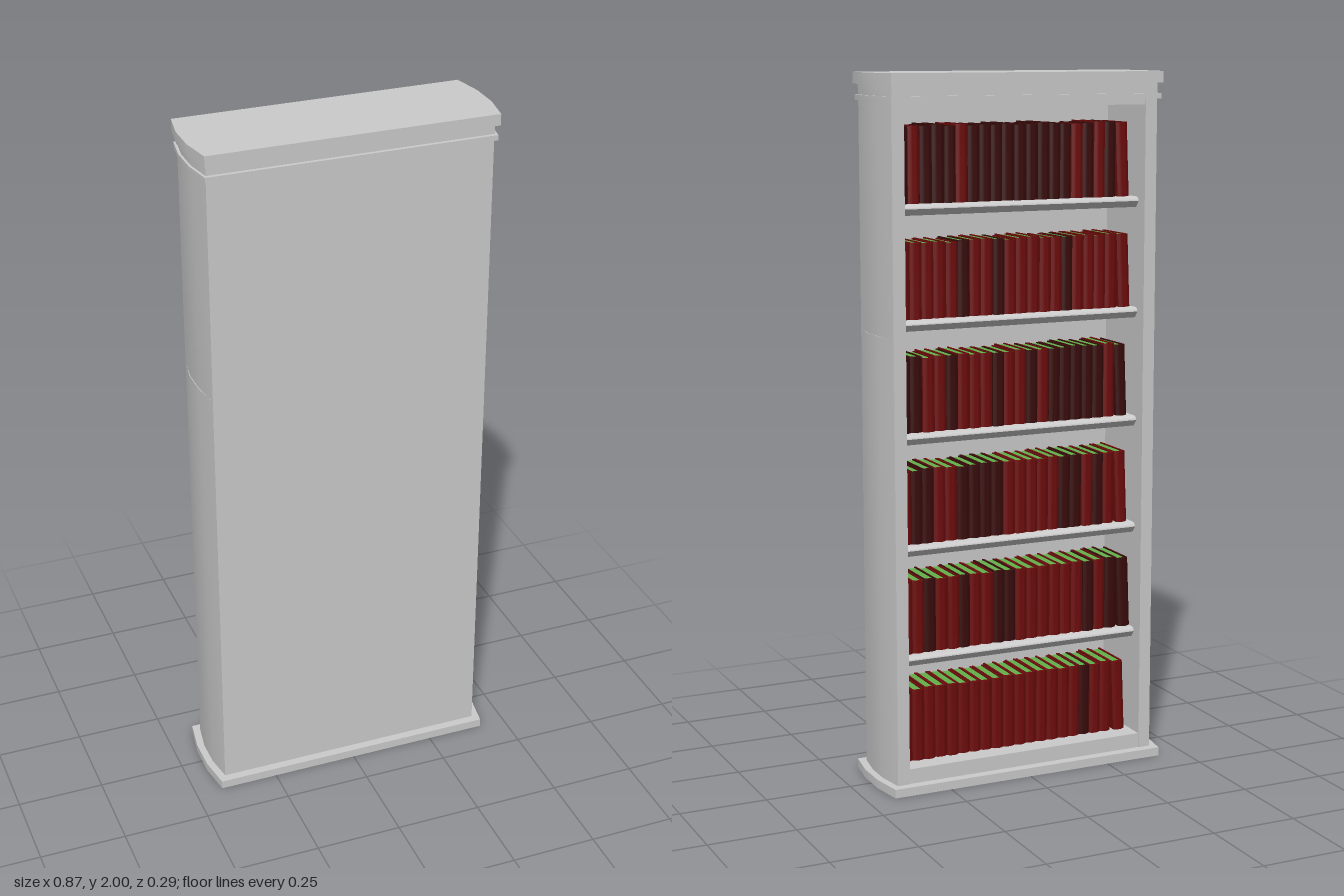
import * as THREE from 'three';
import { toCreasedNormals } from 'three/addons/utils/BufferGeometryUtils.js';

const grey = new THREE.MeshStandardMaterial({ color: 0xcccccc });
const red = new THREE.MeshStandardMaterial({ color: 0x6e0c0c });
const darkRed = new THREE.MeshStandardMaterial({ color: 0x3a0b0b });
const green = new THREE.MeshStandardMaterial({ color: 0x62b04a });

const INNER = 0.366; // half width of the opening
const FLOOR = 0.068, STEP = 0.316;

function mesh(name, geometry, material = grey) {
  const m = new THREE.Mesh(geometry, material);
  m.name = name;
  return m;
}

function box(name, x0, x1, y0, y1, z0, z1) {
  const m = mesh(name, new THREE.BoxGeometry(x1 - x0, y1 - y0, z1 - z0));
  m.position.set((x0 + x1) / 2, (y0 + y1) / 2, (z0 + z1) / 2);
  return m;
}

// Extrudes a plan outline upwards from y0 to y1
function upright(shape, y0, y1, curveSegments = 6) {
  const g = new THREE.ExtrudeGeometry(shape, { depth: y1 - y0, bevelEnabled: false, curveSegments });
  g.rotateX(-Math.PI / 2).translate(0, y0, 0);
  return toCreasedNormals(g, 0.6);
}

// Faceted bowed end: corner, two bulge points, corner
const bowedEnd = (corner, bulge, z) => [[corner, -z], [bulge, -z * 0.33], [bulge, z * 0.33], [corner, z]];
const outline = (points) => new THREE.Shape(points.map(([x, y]) => new THREE.Vector2(x, y)));

function slab(name, corner, bulge, z, y0, y1) {
  const end = bowedEnd(corner, bulge, z);
  return mesh(name, upright(outline([...end, ...end.map(([x, y]) => [-x, -y])]), y0, y1));
}

function sidePanel(name, side, bulge, y0, y1) {
  const points = [...bowedEnd(0.402, bulge, 0.12), [INNER, 0.12], [INNER, -0.12]];
  return mesh(name, upright(outline(points.map(([x, y]) => [x * side, y])), y0, y1));
}

// Shelf with a rounded front edge, drawn in section and run across the opening
function shelf(top) {
  const s = new THREE.Shape();
  s.moveTo(-0.106, 0);
  s.lineTo(0.072, 0);
  s.quadraticCurveTo(0.084, -0.003, 0.084, -0.012);
  s.lineTo(0.07, -0.03);
  s.lineTo(-0.106, -0.03);
  const g = new THREE.ExtrudeGeometry(s, { depth: INNER * 2, bevelEnabled: false, curveSegments: 4 });
  g.translate(0, 0, -INNER).rotateY(Math.PI / 2);
  const m = mesh('shelf', toCreasedNormals(g, 0.6));
  m.position.y = top;
  return m;
}

const BOOK_W = 0.036, BOOK_H = 0.21;

function bookParts() {
  const s = new THREE.Shape();
  s.moveTo(-0.0175, -0.075);
  s.lineTo(-0.0175, 0.066);
  s.quadraticCurveTo(0, 0.08, 0.0175, 0.066);
  s.lineTo(0.0175, -0.075);
  s.lineTo(0.012, -0.075);
  s.lineTo(0.012, 0.062);
  s.lineTo(-0.012, 0.062);
  s.lineTo(-0.012, -0.075);
  const pages = new THREE.BoxGeometry(0.024, BOOK_H - 0.006, 0.134).translate(0, BOOK_H / 2, 0.005);
  return { cover: upright(s, 0, BOOK_H), pages };
}

function seeded(seed) {
  return () => (seed = (seed * 16807) % 2147483647) / 2147483647;
}

export function createModel() {
  const model = new THREE.Group();
  model.name = 'bookcase';

  // Base and stepped crown
  model.add(
    slab('base', 0.42, 0.435, 0.145, 0, 0.025),
    slab('crownMoulding', 0.408, 0.422, 0.133, 1.924, 1.939),
    slab('crownNeck', 0.402, 0.415, 0.122, 1.939, 1.968),
    slab('crownCap', 0.41, 0.426, 0.14, 1.968, 2)
  );

  // Carcass, open towards -z
  model.add(
    box('backPanel', -INNER, INNER, 0.025, 1.924, 0.105, 0.12),
    box('floorBoard', -INNER, INNER, 0.025, FLOOR, -0.117, 0.105),
    box('ceilingBoard', -INNER, INNER, 1.908, 1.924, -0.117, 0.105)
  );
  for (const side of [1, -1]) {
    model.add(
      sidePanel('lowerSidePanel', side, 0.415, 0.025, 1.29),
      sidePanel('upperSidePanel', side, 0.413, 1.29, 1.924)
    );
  }
  for (let i = 1; i < 6; i++) model.add(shelf(FLOOR + i * STEP));

  // Rows of books, spines towards -z, the last one leaning
  const { cover, pages } = bookParts();
  const random = seeded(71);
  const darkShare = [0.1, 0.3, 0.3, 0.55, 0.05, 0.75];
  for (let row = 0; row < 6; row++) {
    const books = new THREE.Group();
    books.name = 'bookRow';
    books.position.set(0, FLOOR + row * STEP, 0.014);
    let x = INNER - 0.003;
    for (let i = 0; i < 20; i++) {
      const width = 0.93 + random() * 0.1;
      const lean = i === 19 ? 0.04 : 0;
      const book = new THREE.Group();
      book.name = 'book';
      book.add(
        mesh('bookCover', cover, random() < darkShare[row] ? darkRed : red),
        mesh('bookPages', pages, green)
      );
      x -= BOOK_H * Math.sin(lean);
      book.position.set(x - (width * BOOK_W) / 2, 0, (random() - 0.5) * 0.006);
      book.rotation.z = -lean;
      book.scale.set(width, 0.985 + random() * 0.03, 1);
      books.add(book);
      x -= width * BOOK_W;
    }
    model.add(books);
  }
  return model;
}
